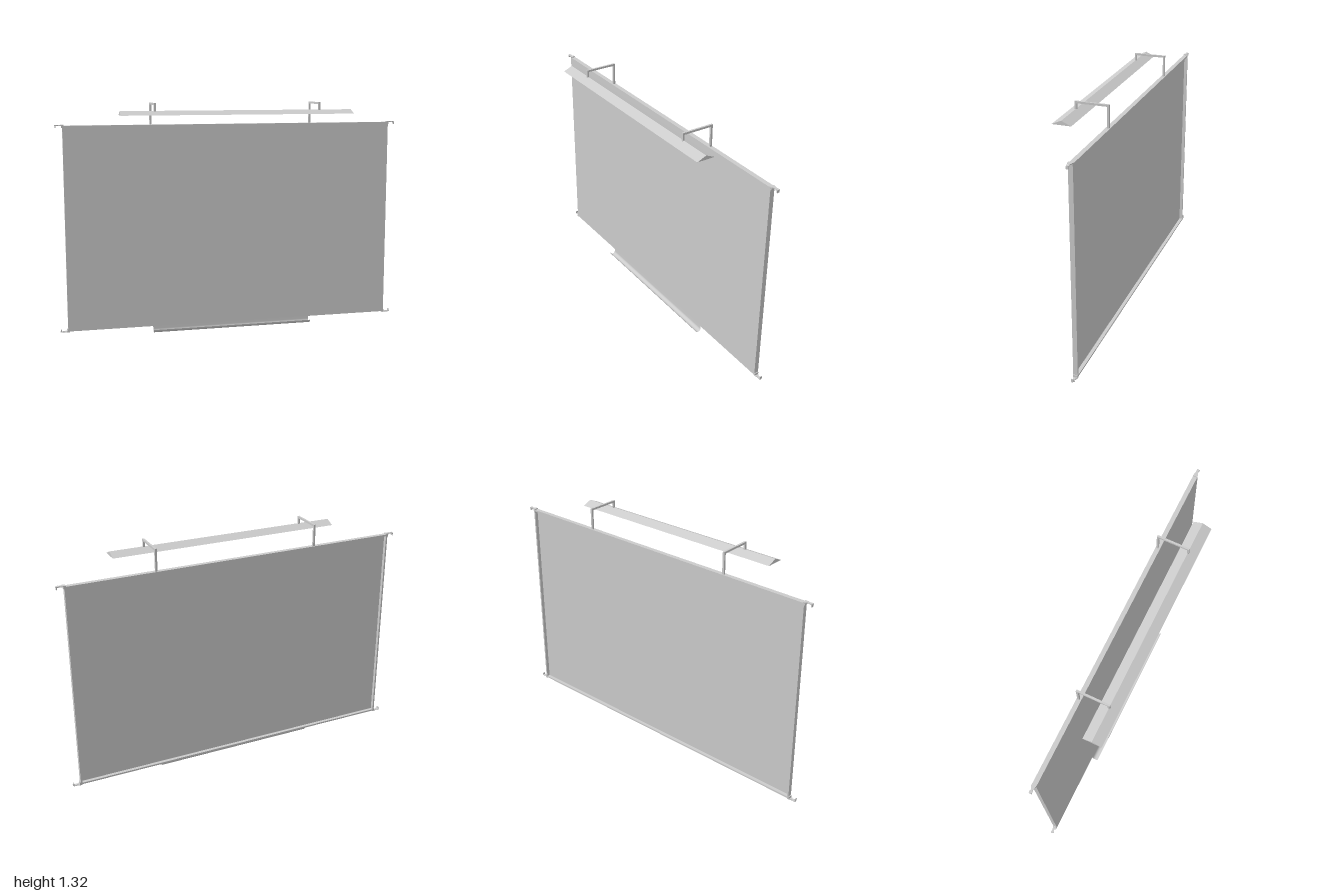
import * as THREE from 'three';

const material = new THREE.MeshStandardMaterial({ color: 0xcccccc, flatShading: true });
const sheet = new THREE.MeshStandardMaterial({ color: 0xcccccc, side: THREE.DoubleSide });

export function createModel() {
  const model = new THREE.Group();
  const BACK = -0.117, FRONT = -0.092, BOTTOM = 0.032, TOP = 1.197, HALF = 0.958;
  const midY = (TOP + BOTTOM) / 2, midZ = (FRONT + BACK) / 2, depth = FRONT - BACK;

  function add(name, geometry, mat = material, parent = model) {
    const mesh = new THREE.Mesh(geometry, mat);
    mesh.name = name;
    parent.add(mesh);
    return mesh;
  }
  function box(name, w, h, d, x, y, z, parent = model) {
    const mesh = add(name, new THREE.BoxGeometry(w, h, d), material, parent);
    mesh.position.set(x, y, z);
    return mesh;
  }

  // Writing surface, set in front of a shallow open-backed frame
  box('boardPanel', 2 * HALF - 0.01, TOP - BOTTOM - 0.01, 0.006, 0, midY, FRONT - 0.003);

  const outline = new THREE.Shape();
  const rect = (path, w, h) => {
    path.moveTo(-w, -h).lineTo(w, -h).lineTo(w, h).lineTo(-w, h).closePath();
    return path;
  };
  const h = (TOP - BOTTOM) / 2;
  rect(outline, HALF, h);
  outline.holes.push(rect(new THREE.Path(), HALF - 0.009, h - 0.009));
  const frame = add('boardFrame', new THREE.ExtrudeGeometry(outline, { depth, bevelEnabled: false }));
  frame.position.set(0, midY, BACK);

  // Wavy corner clips with a turned lip at both ends
  for (const side of [-1, 1]) {
    for (const up of [-1, 1]) {
      const clip = new THREE.Group();
      clip.name = 'cornerClip';
      const s = new THREE.Shape();
      s.moveTo(-0.008, -0.012);
      s.lineTo(0.008, -0.012);
      s.quadraticCurveTo(0.02, 0.001, 0.03, -0.008);
      s.quadraticCurveTo(0.044, -0.006, 0.042, 0.008);
      s.quadraticCurveTo(0.028, 0.01, 0.021, 0.006);
      s.quadraticCurveTo(0.012, 0.012, -0.008, 0.012);
      s.closePath();
      const plate = new THREE.ExtrudeGeometry(s, { depth: 0.005, bevelEnabled: false, curveSegments: 5 });
      plate.rotateX(-Math.PI / 2);
      add('clipPlate', plate, material, clip);
      box('outerLip', 0.005, 0.014, 0.014, 0.0385, -0.005, 0, clip);
      box('innerLip', 0.005, 0.014, 0.022, 0.0025, -0.005, 0, clip);
      clip.position.set(side * HALF, up > 0 ? TOP : BOTTOM, midZ);
      // Half turns place the clip at the four corners
      if (side < 0) clip.rotation.y = Math.PI;
      if (up < 0) clip.rotation.x = Math.PI;
      model.add(clip);
    }
  }

  // Curved tray: a thin half round with a strip joining it to the board
  const trayWidth = 0.945, radius = 0.0175, profile = [];
  profile.push(new THREE.Vector2(FRONT, 0.042));
  for (let i = 0; i <= 12; i++) {
    const a = Math.PI + (Math.PI * i) / 12;
    profile.push(new THREE.Vector2(FRONT + radius + radius * Math.cos(a), radius + radius * Math.sin(a)));
  }
  const positions = [], index = [];
  profile.forEach((p, i) => {
    positions.push(-trayWidth / 2, p.y, p.x, trayWidth / 2, p.y, p.x);
    if (i) {
      const b = 2 * i - 2;
      index.push(b, b + 2, b + 1, b + 1, b + 2, b + 3);
    }
  });
  const trayGeometry = new THREE.BufferGeometry();
  trayGeometry.setAttribute('position', new THREE.Float32BufferAttribute(positions, 3));
  trayGeometry.setIndex(index);
  trayGeometry.computeVertexNormals();
  add('penTray', trayGeometry, sheet);

  // Square-section lamp arms: post, reach and drop
  const bar = 0.011, armZ = -0.107, dropZ = 0.066, armTop = 1.321;
  for (const side of [-1, 1]) {
    const arm = new THREE.Group();
    arm.name = 'lampArm';
    arm.position.x = side * 0.469;
    box('post', bar, armTop - TOP + 0.005, bar, 0, (armTop + TOP - 0.005) / 2, armZ, arm);
    box('reach', bar, bar, dropZ - armZ - bar, 0, armTop - bar / 2, (armZ + dropZ) / 2, arm);
    box('drop', bar, armTop - 1.275, bar, 0, (armTop + 1.275) / 2, dropZ, arm);
    model.add(arm);
  }

  // Ridged lamp shade
  const roof = new THREE.Shape();
  roof.moveTo(-0.052, 0).lineTo(0.052, 0).lineTo(0, 0.023).closePath();
  const shade = new THREE.ExtrudeGeometry(roof, { depth: 1.32, bevelEnabled: false });
  shade.translate(0, 0, -0.66).rotateY(Math.PI / 2);
  add('lampShade', shade).position.set(0, 1.257, 0.065);

  return model;
}
